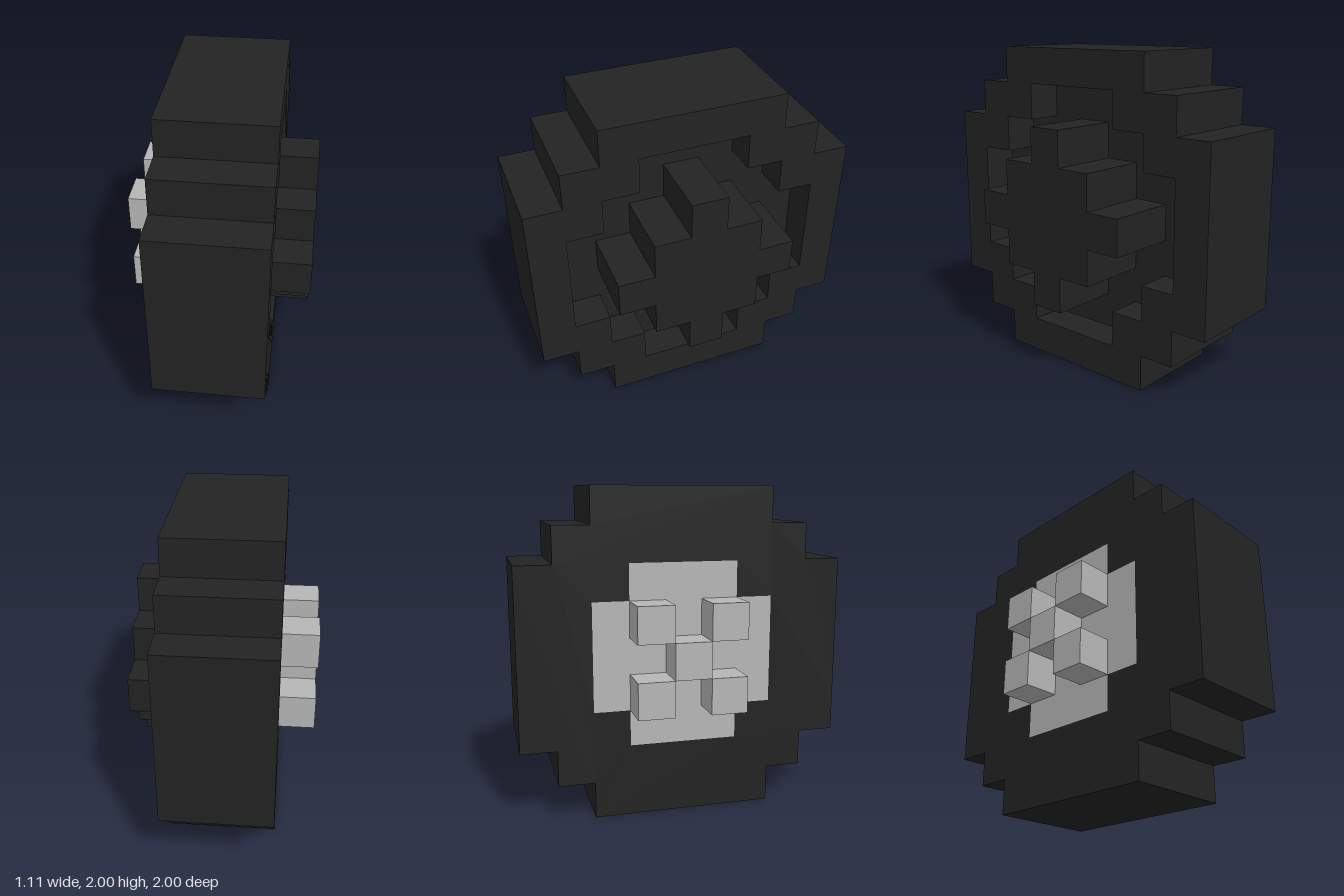
import * as THREE from 'three';

const U = 2 / 9; // one block

// Stepped outline centred on the axle; widths are block counts per row, bottom to top
function outline(widths, PathType = THREE.Shape) {
  const pts = [];
  const y0 = -widths.length / 2;
  widths.forEach((w, i) => {
    pts.push(new THREE.Vector2(w / 2 * U, (y0 + i) * U), new THREE.Vector2(w / 2 * U, (y0 + i + 1) * U));
  });
  const left = pts.map(p => new THREE.Vector2(-p.x, p.y)).reverse();
  const all = [...pts, ...left].filter((p, i, a) => i === 0 || !p.equals(a[i - 1]));
  return new PathType(all);
}

export function createModel() {
  const group = new THREE.Group();
  group.name = 'wheel';

  const rubber = new THREE.MeshStandardMaterial({ color: 0x232323 });
  rubber.name = 'black rubber';
  const metal = new THREE.MeshStandardMaterial({ color: 0xb6b6b6 });
  metal.name = 'light grey metal';

  const TYRE = [5, 7, 9, 9, 9, 9, 9, 7, 5];
  const RECESS = [3, 5, 7, 7, 7, 5, 3];
  const AXLE = [1, 3, 5, 3, 1];
  const HUB = [3, 5, 5, 5, 3];

  // Slab between block positions x0 and x1 along the axle
  function slab(name, widths, x0, x1, material, hole) {
    const shape = outline(widths);
    if (hole) shape.holes.push(outline(hole, THREE.Path));
    const geo = new THREE.ExtrudeGeometry(shape, { depth: (x1 - x0) * U, bevelEnabled: false });
    geo.rotateY(Math.PI / 2);
    geo.translate(x0 * U, 1, 0);
    const mesh = new THREE.Mesh(geo, material);
    mesh.name = name;
    group.add(mesh);
  }

  // Tyre in three layers: outer with hub opening, solid middle, inner with recess
  slab('tyreOuter', TYRE, -1.5, -0.5, rubber, HUB);
  slab('tyreMiddle', TYRE, -0.5, 0.5, rubber);
  slab('tyreInner', TYRE, 0.5, 1.5, rubber, RECESS);

  // Stepped axle boss standing out of the recess
  slab('axleBoss', AXLE, 0.5, 2.5, rubber);

  // Hub plate flush with the tyre wall
  slab('hubPlate', HUB, -1.5, -0.5, metal);

  // Centre cap and four wheel nuts
  const cube = new THREE.BoxGeometry(U, U, U);
  for (const [y, z] of [[0, 0], [1, 1], [1, -1], [-1, 1], [-1, -1]]) {
    const nut = new THREE.Mesh(cube, metal);
    nut.name = y === 0 ? 'centreCap' : 'wheelNut';
    nut.position.set(-2 * U, 1 + y * U, z * U);
    group.add(nut);
  }

  return group;
}
